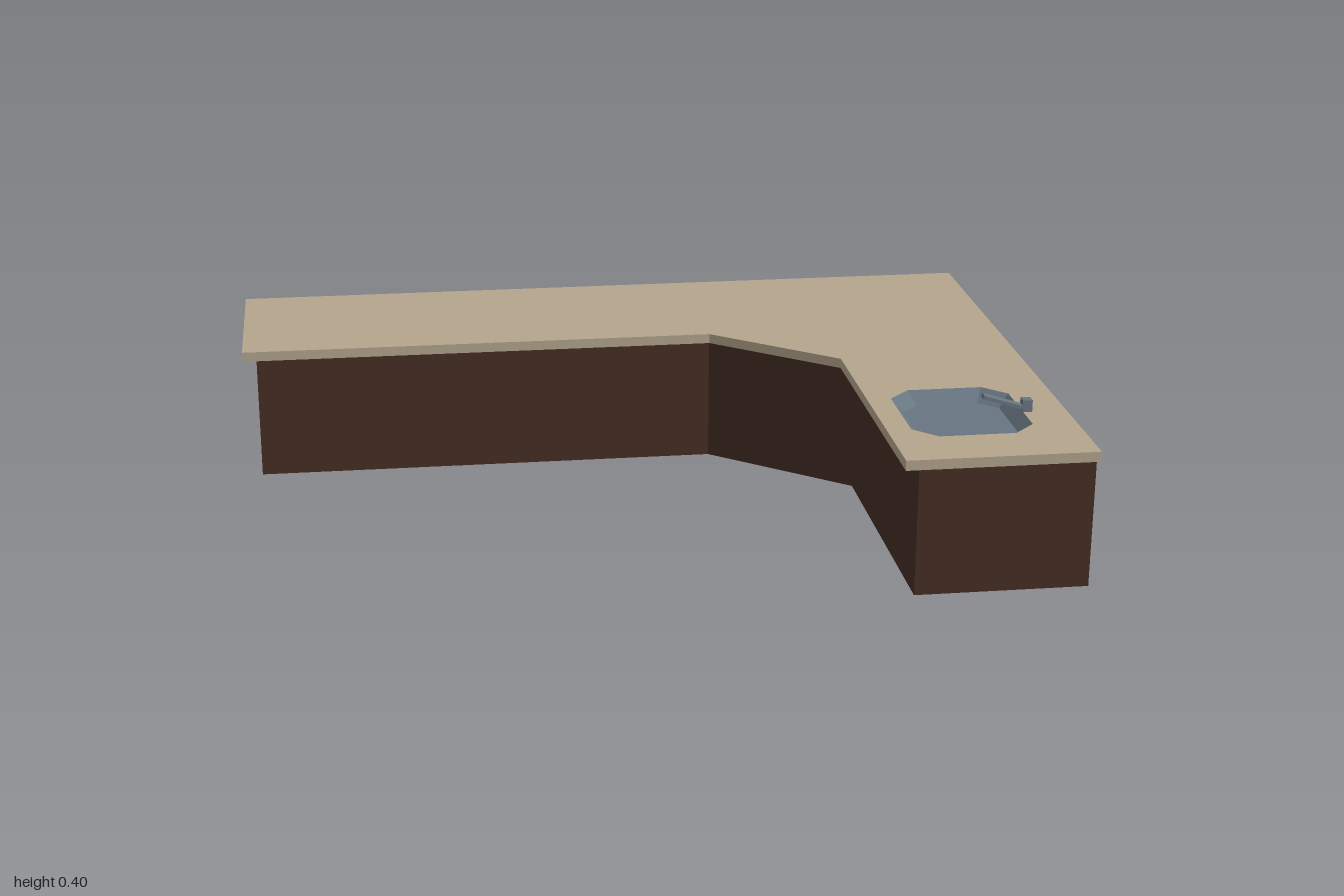
import * as THREE from 'three';

const TOP = 0.355, SOFFIT = 0.33, BASIN = 0.325;

// Plan outlines as [x, z]
const counterEdge = [[1, 0.727], [0.535, 0.727], [0.535, -0.01], [0.23, -0.255], [-1, -0.255], [-1, -0.727]];
const cabinetFront = [[1, 0.695], [0.575, 0.695], [0.575, -0.01], [0.235, -0.29], [-0.965, -0.29], [-0.965, -0.727]];
const cabinetBack = [[-0.965, -0.727], [1, -0.727], [1, 0.695]];

// Faceted strip between two matching outlines at heights ya and yb
function ribbon(a, ya, b, yb) {
  const v = [];
  for (let i = 0; i + 1 < a.length; i++) {
    const a0 = [a[i][0], ya, a[i][1]], a1 = [a[i + 1][0], ya, a[i + 1][1]];
    const b0 = [b[i][0], yb, b[i][1]], b1 = [b[i + 1][0], yb, b[i + 1][1]];
    v.push(...a1, ...a0, ...b0, ...a1, ...b0, ...b1);
  }
  const g = new THREE.BufferGeometry();
  g.setAttribute('position', new THREE.Float32BufferAttribute(v, 3));
  g.computeVertexNormals();
  return g;
}

// Horizontal sheet at height y, optionally with a hole
function sheet(outline, y, hole) {
  const flat = (pts) => pts.map(([x, z]) => new THREE.Vector2(x, -z));
  const shape = new THREE.Shape(flat(outline));
  if (hole) shape.holes.push(new THREE.Path(flat(hole)));
  return new THREE.ShapeGeometry(shape).rotateX(-Math.PI / 2).translate(0, y, 0);
}

// Rectangle with cut corners
function octagon(x0, x1, z0, z1, c) {
  return [[x0 + c, z1], [x1 - c, z1], [x1, z1 - c], [x1, z0 + c],
    [x1 - c, z0], [x0 + c, z0], [x0, z0 + c], [x0, z1 - c]];
}

export function createModel() {
  const group = new THREE.Group();
  const material = (name, color) => {
    const m = new THREE.MeshStandardMaterial({ color, side: THREE.DoubleSide });
    m.name = name;
    return m;
  };
  const stone = material('taupe counter', 0xb4a58c);
  const wood = material('dark brown wood', 0x452e24);
  const steel = material('slate metal', 0x687682);

  const add = (name, geometry, mat) => {
    const mesh = new THREE.Mesh(geometry, mat);
    mesh.name = name;
    group.add(mesh);
    return mesh;
  };

  // Cabinet shell, open underneath; rear walls rise to the counter top
  add('cabinetFrontWalls', ribbon(cabinetFront, 0, cabinetFront, SOFFIT), wood);
  add('cabinetRearWalls', ribbon(cabinetBack, 0, cabinetBack, TOP), wood);

  // Countertop with a cut-out, front lip and overhang
  const rim = octagon(0.595, 0.892, 0.25, 0.58, 0.055);
  const bowl = octagon(0.622, 0.865, 0.28, 0.552, 0.045);
  add('counterTop', sheet([...counterEdge, [1, -0.727]], TOP, rim), stone);
  const lip = [[1, 0.695], ...counterEdge, [-0.965, -0.727]];
  add('counterLip', ribbon(lip, SOFFIT, lip, TOP), stone);
  add('counterOverhang', ribbon(cabinetFront, SOFFIT, counterEdge, SOFFIT), stone);

  // Shallow basin
  const close = (pts) => [...pts, pts[0]];
  add('basinSides', ribbon(close(bowl), BASIN, close(rim), TOP), steel);
  add('basinFloor', sheet(bowl, BASIN), steel);

  // Tap: small block and a sloping spout
  const base = add('tapBase', new THREE.BoxGeometry(0.024, 0.03, 0.025), steel);
  base.position.set(0.902, 0.37, 0.43);
  const spout = add('tapSpout', new THREE.BoxGeometry(0.112, 0.009, 0.024), steel);
  spout.position.set(0.846, 0.38, 0.43);
  spout.rotation.z = -0.3;

  return group;
}
